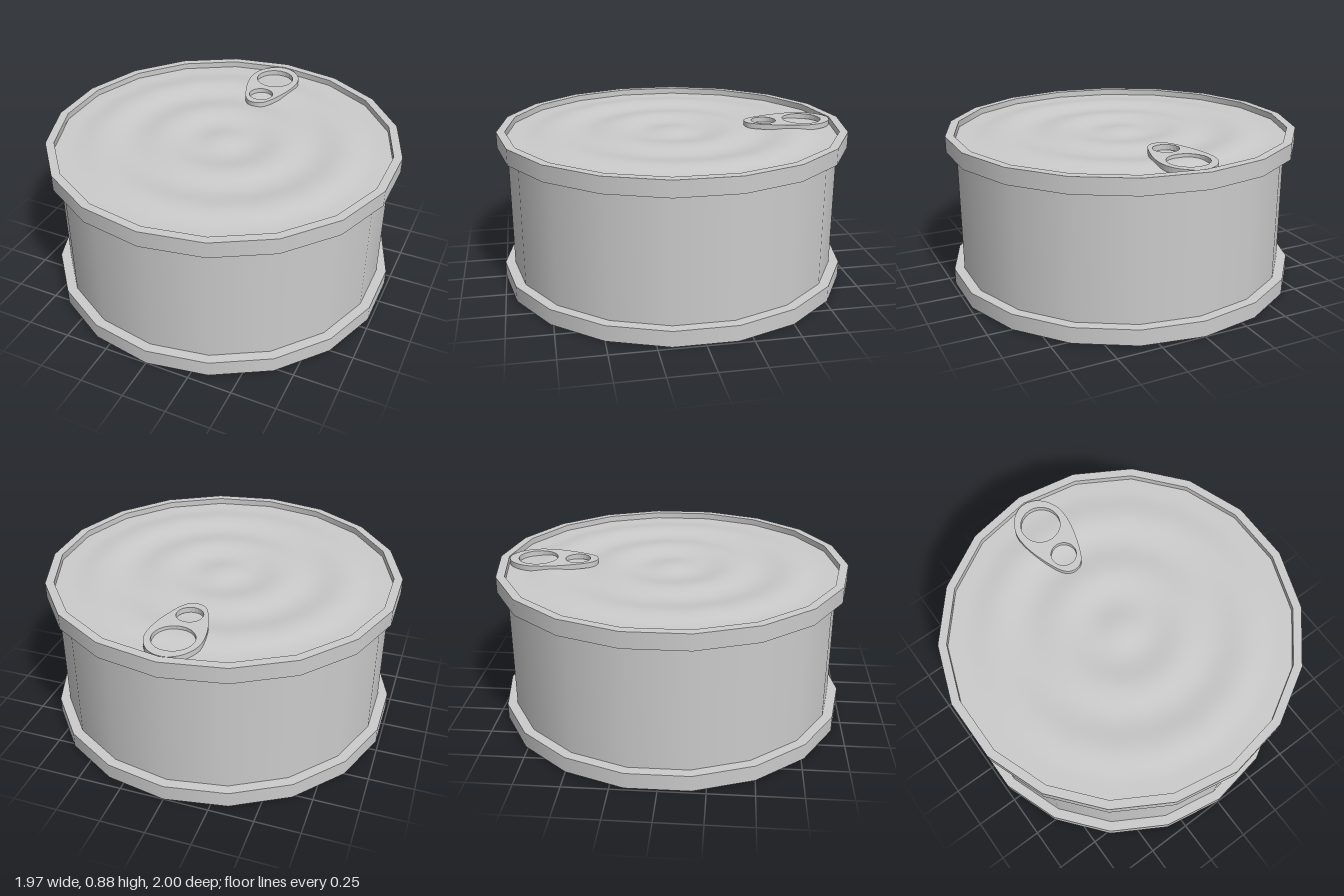
import * as THREE from 'three';
import { mergeGeometries } from 'three/addons/utils/BufferGeometryUtils.js';

const SIDES = 18;
const HEIGHT = 0.885;
const RIM = 0.09;       // rim height
const RECESS = 0.035;   // depth of the lids below the rim edge
const WALL_R = 0.943;
const INNER_R = 0.952;

const material = new THREE.MeshStandardMaterial({ color: 0xcccccc });

function addMesh(parent, name, geometry) {
  const mesh = new THREE.Mesh(geometry, material);
  mesh.name = name;
  parent.add(mesh);
  return mesh;
}

const lathe = (points) =>
  new THREE.LatheGeometry(points.map(([r, y]) => new THREE.Vector2(r, y)), SIDES);

// One lathe per profile segment: smooth around, sharp at the corners
function sharpLathe(points) {
  return mergeGeometries(points.slice(1).map((p, i) => lathe([points[i], p])));
}

// Rim and rippled lid, modelled as the upper end of the can
function buildEnd(prefix) {
  const end = new THREE.Group();
  end.name = prefix + 'End';

  addMesh(end, prefix + 'Rim', sharpLathe([
    [WALL_R, HEIGHT - RIM], [1, HEIGHT - RIM], [1, HEIGHT],
    [INNER_R, HEIGHT], [INNER_R, HEIGHT - RECESS],
  ]));

  // Concentric waves that die out to a flat border
  const profile = [];
  const steps = 40;
  for (let i = steps; i >= 0; i--) {
    const r = (INNER_R * i) / steps;
    const wave = r < 0.875 ? 0.5 + 0.5 * Math.cos((2 * Math.PI * r) / 0.35) : 0;
    profile.push([r, HEIGHT - RECESS + 0.016 * wave - 0.005 * (r < 0.875 ? 1 - r / 0.875 : 0)]);
  }
  addMesh(end, prefix + 'Lid', lathe(profile));
  return end;
}

// Teardrop ring pull with a finger hole and a rivet hole
function buildPullTab() {
  const shape = new THREE.Shape();
  shape.moveTo(0, 0.43);
  shape.bezierCurveTo(0.05, 0.43, 0.075, 0.47, 0.1, 0.54);
  shape.bezierCurveTo(0.13, 0.62, 0.15, 0.69, 0.15, 0.77);
  shape.bezierCurveTo(0.15, 0.85, 0.09, 0.945, 0, 0.945);
  shape.bezierCurveTo(-0.09, 0.945, -0.15, 0.85, -0.15, 0.77);
  shape.bezierCurveTo(-0.15, 0.69, -0.13, 0.62, -0.1, 0.54);
  shape.bezierCurveTo(-0.075, 0.47, -0.05, 0.43, 0, 0.43);
  for (const [y, r] of [[0.78, 0.113], [0.547, 0.072]]) {
    shape.holes.push(new THREE.Path().absarc(0, y, r, 0, Math.PI * 2, true));
  }
  const geometry = new THREE.ExtrudeGeometry(shape, {
    depth: 0.03, bevelEnabled: false, curveSegments: 12,
  });
  return geometry.rotateX(-Math.PI / 2).translate(0, HEIGHT - 0.032, 0);
}

export function createModel() {
  const can = new THREE.Group();
  can.name = 'tinCan';

  addMesh(can, 'wall', lathe([[WALL_R, RIM], [WALL_R, HEIGHT - RIM]]));
  can.add(buildEnd('top'));

  // Bottom end is the top end turned over
  const bottom = buildEnd('bottom');
  bottom.rotation.x = Math.PI;
  bottom.position.y = HEIGHT;
  can.add(bottom);

  addMesh(can, 'pullTab', buildPullTab());
  return can;
}
